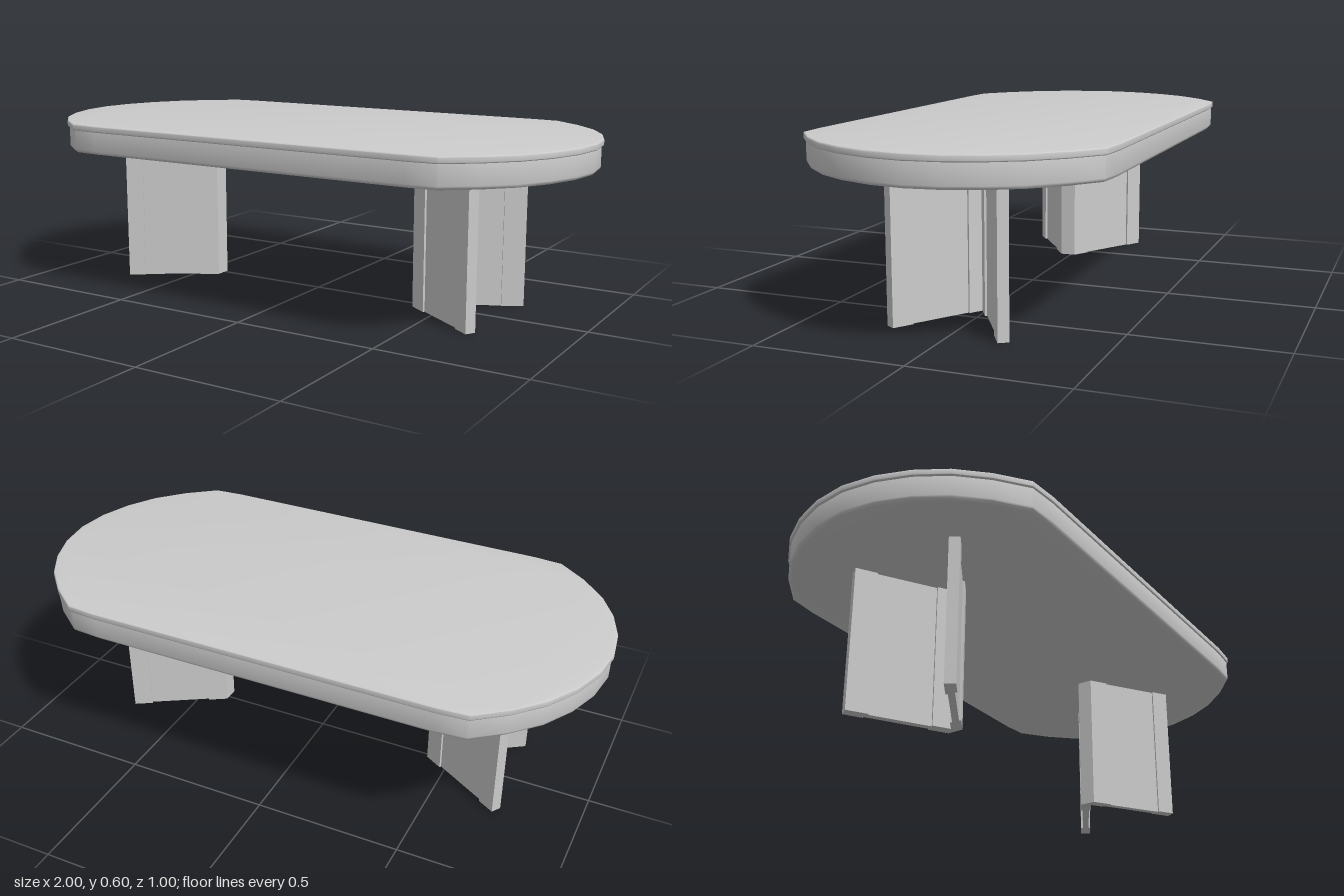
import * as THREE from 'three';
import { toCreasedNormals } from 'three/addons/utils/BufferGeometryUtils.js';

const material = new THREE.MeshStandardMaterial({ color: 0xcccccc });

// Extrudes a plan drawn in (x, z) upward from y = bottom to y = top.
function extrudePlan(points, bottom, top, bevel = 0) {
  const shape = new THREE.Shape(points.map(([x, z]) => new THREE.Vector2(x, z)));
  const geometry = new THREE.ExtrudeGeometry(shape, {
    depth: top - bottom - 2 * bevel,
    bevelEnabled: bevel > 0,
    bevelThickness: bevel,
    bevelSize: bevel,
    bevelOffset: -bevel,
    bevelSegments: 3,
  });
  geometry.rotateX(Math.PI / 2);
  geometry.translate(0, top - bevel, 0);
  return geometry;
}

// Oval plan with straight long sides, mirrored from one quarter.
function ovalPlan(scaleX, scaleZ) {
  const quarter = [[0.6, 0.5], [0.7, 0.492], [0.8, 0.415], [0.885, 0.325],
    [0.945, 0.225], [0.985, 0.115], [1, 0]];
  const half = [...quarter, ...quarter.slice(0, -1).reverse().map(([x, z]) => [x, -z])];
  const all = [...half, ...half.map(([x, z]) => [-x, -z])];
  return all.map(([x, z]) => [x * scaleX, z * scaleZ]);
}

// One plank face from a to b with a shallow recess between fractions s and e.
function recessedFace(a, b, s, e, depth = 0.007) {
  const dx = b[0] - a[0], dz = b[1] - a[1], length = Math.hypot(dx, dz);
  const at = (t, d) => [a[0] + dx * t + (dz / length) * d, a[1] + dz * t - (dx / length) * d];
  return [a, at(s, 0), at(s, depth), at(e, depth), at(e, 0), b];
}

// V-shaped plan of two planks that open toward the end of the table.
function legPlan() {
  const frontTip = [0.68, 0.225], frontInner = [0.70, 0.195];
  const backTip = [0.70, -0.195], backInner = [0.72, -0.165];
  const corner = [0.424, 0.013];
  return [
    ...recessedFace(frontTip, [0.40, 0.04], 0.18, 0.79, -0.007),
    ...recessedFace([0.40, -0.015], backTip, 0.2, 0.81, -0.007),
    ...recessedFace(backInner, corner, 0.22, 0.82, -0.007),
    ...recessedFace(corner, frontInner, 0.15, 0.78, -0.007).slice(1),
  ];
}

export function createModel() {
  const model = new THREE.Group();
  const add = (name, geometry) => {
    const mesh = new THREE.Mesh(geometry, material);
    mesh.name = name;
    model.add(mesh);
  };

  // Tabletop: a thin rim over a slightly smaller body with a rounded lower edge
  add('tabletopRim', toCreasedNormals(extrudePlan(ovalPlan(1, 1), 0.578, 0.6, 0.004), 0.6));
  add('tabletopBody', toCreasedNormals(extrudePlan(ovalPlan(0.993, 0.99), 0.5, 0.59, 0.012), 0.6));

  // Legs: the right one is the mirrored plan, set a little further out
  const plan = legPlan();
  add('leftLeg', extrudePlan(plan, 0, 0.505));
  add('rightLeg', extrudePlan(plan.map(([x, z]) => [-x - 0.02, z]), 0, 0.505));
  return model;
}
